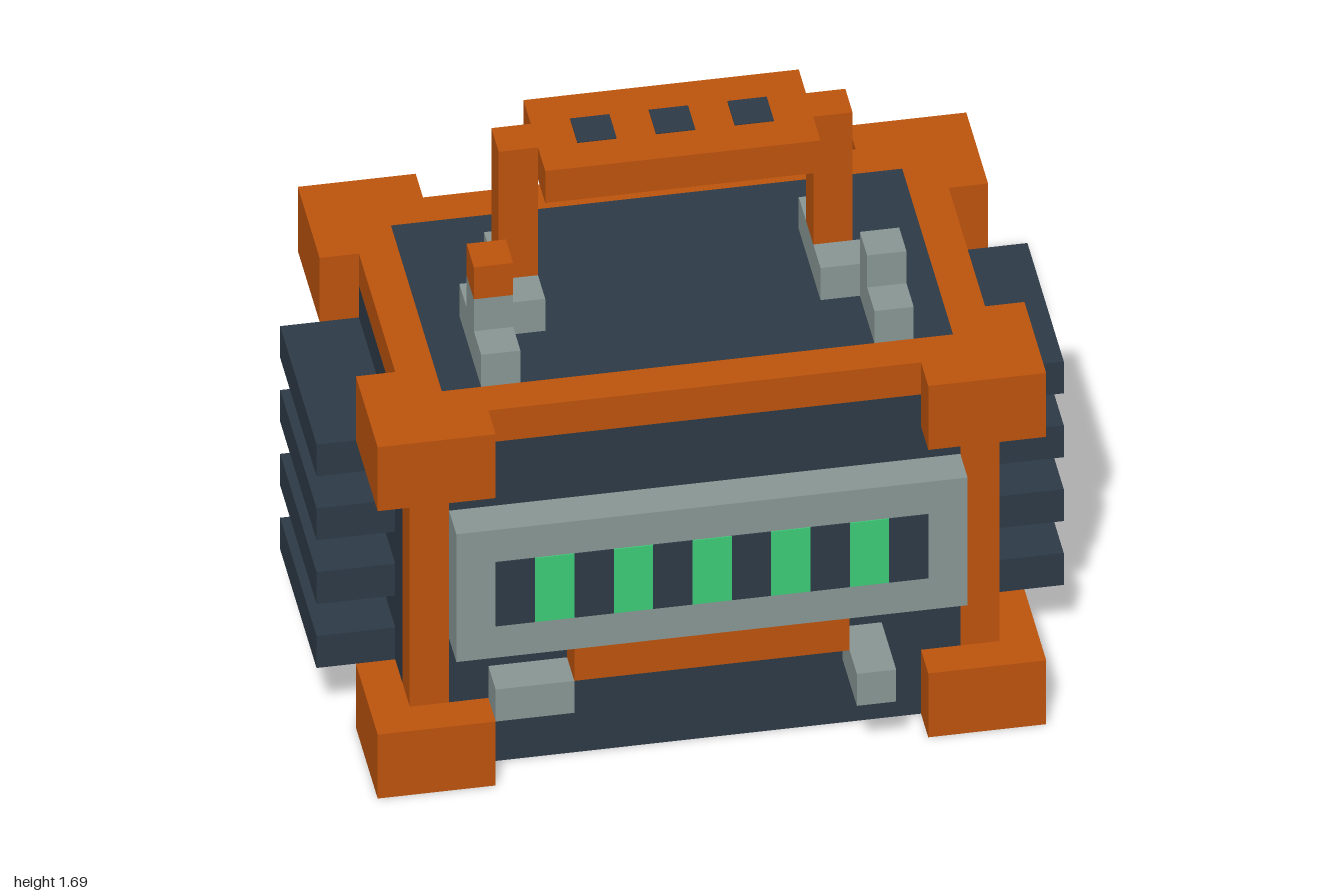
import * as THREE from 'three';

// All sizes below are in block units; 19 blocks span the 2-unit width.
const U = 2 / 19;

export function createModel() {
  const root = new THREE.Group();
  root.name = 'portableGenerator';

  const material = (name, color) => {
    const m = new THREE.MeshStandardMaterial({ color });
    m.name = name;
    return m;
  };
  const orange = material('orange', 0xbc530c);
  const grey = material('grey', 0x889694);
  const dark = material('dark slate', 0x2d3a46);
  const green = material('green light', 0x3dcb76);

  const add = (name, geometry, mat) => {
    const mesh = new THREE.Mesh(geometry, mat);
    mesh.name = name;
    root.add(mesh);
    return mesh;
  };
  // Box given by its lower and upper bounds on each axis.
  const box = (name, mat, [x0, x1], [y0, y1], [z0, z1]) => {
    const g = new THREE.BoxGeometry((x1 - x0) * U, (y1 - y0) * U, (z1 - z0) * U);
    g.translate((x0 + x1) / 2 * U, (y0 + y1) / 2 * U, (z0 + z1) / 2 * U);
    return add(name, g, mat);
  };
  const span = (s, a, b) => (s > 0 ? [a, b] : [-b, -a]);

  // Body: a core with stepped wall panels that leave room for the frame
  box('bodyCore', dark, [-6.5, 6.5], [0, 11], [-3.5, 3.5]);
  for (const s of [1, -1]) {
    box('endWall', dark, [-6.5, 6.5], [2, 9], span(s, 3.5, 4.5));
    box('endWallTall', dark, [-5.5, 5.5], [0, 10], span(s, 3.5, 4.5));
    box('sideWall', dark, span(s, 6.5, 7.5), [2, 9], [-3.5, 3.5]);
    box('sideWallTall', dark, span(s, 6.5, 7.5), [0, 10], [-2.5, 2.5]);

    // Top rails
    box('longRail', orange, [-5.5, 5.5], [10, 11], span(s, 3.5, 4.5));
    box('shortRail', orange, span(s, 6.5, 7.5), [10, 11], [-2.5, 2.5]);

    // Cooling fins
    for (const y of [2, 4, 6, 8]) {
      box('coolingFin', dark, span(s, 7.5, 9.5), [y, y + 1], [-2.5, 2.5]);
    }
  }

  // Corner posts and L-shaped bumpers
  for (const sx of [1, -1]) for (const sz of [1, -1]) {
    box('cornerPost', orange, span(sx, 6.5, 7.5), [2, 9], span(sz, 3.5, 4.5));
    const outline = [[5.5, 5.5], [8.5, 5.5], [8.5, 2.5], [6.5, 2.5], [6.5, 3.5], [5.5, 3.5]];
    const shape = new THREE.Shape(outline.map(([x, z]) => new THREE.Vector2(x * sx * U, -z * sz * U)));
    for (const y of [0, 9]) {
      const g = new THREE.ExtrudeGeometry(shape, { depth: 2 * U, bevelEnabled: false });
      g.rotateX(-Math.PI / 2);
      g.translate(0, y * U, 0);
      add(y ? 'topBumper' : 'footBumper', g, orange);
    }
  }

  // Front display with alternating dark and lit cells
  box('displayFrame', grey, [-6.5, 6.5], [4, 8], [4.5, 5.5]);
  for (let i = 0; i < 11; i++) {
    const lit = i % 2 === 1;
    box(lit ? 'litCell' : 'darkCell', lit ? green : dark,
      [i - 5.5, i - 4.5], [5, 7], [5.5, 5.53]);
  }

  // Front trim and controls
  box('lowerTrim', orange, [-3.5, 3.5], [3, 4], [4.5, 5.5]);
  box('frontLatch', grey, [-5.5, -3.5], [2, 3], [4.5, 5.5]);
  box('frontKnob', grey, [3.5, 4.5], [2, 3], [4.5, 6.5]);

  // Rear socket plate with two plugs
  box('socketPlate', grey, [-2.5, 2.5], [3, 6], [-5.5, -4.5]);
  for (const s of [1, -1]) box('plug', grey, span(s, 0.5, 1.5), [4, 5], [-6.5, -5.5]);

  // Carrying handle and its brackets
  for (const s of [1, -1]) {
    box('handleBracket', grey, span(s, 3.5, 4.5), [11, 12], [-1.5, 1.5]);
    box('bracketArm', grey, span(s, 4.5, 5.5), [11, 12], [0.5, 3.5]);
    box('valveStem', grey, span(s, 4.5, 5.5), [12, 13], [1.5, 2.5]);
    box('handlePost', orange, span(s, 3.5, 4.5), [12, 16], [-0.5, 0.5]);
  }
  box('valveCap', orange, [-5.5, -4.5], [13, 14], [1.5, 2.5]);
  box('handleGrip', orange, [-3.5, 3.5], [15, 16], [-1.5, 1.5]);
  // Grip pads above and below
  for (const x of [-2, 0, 2]) {
    box('gripPadTop', dark, [x - 0.5, x + 0.5], [16, 16.03], [-0.5, 0.5]);
    box('gripPadUnder', dark, [x - 0.5, x + 0.5], [14.97, 15], [-0.5, 0.5]);
  }

  return root;
}
